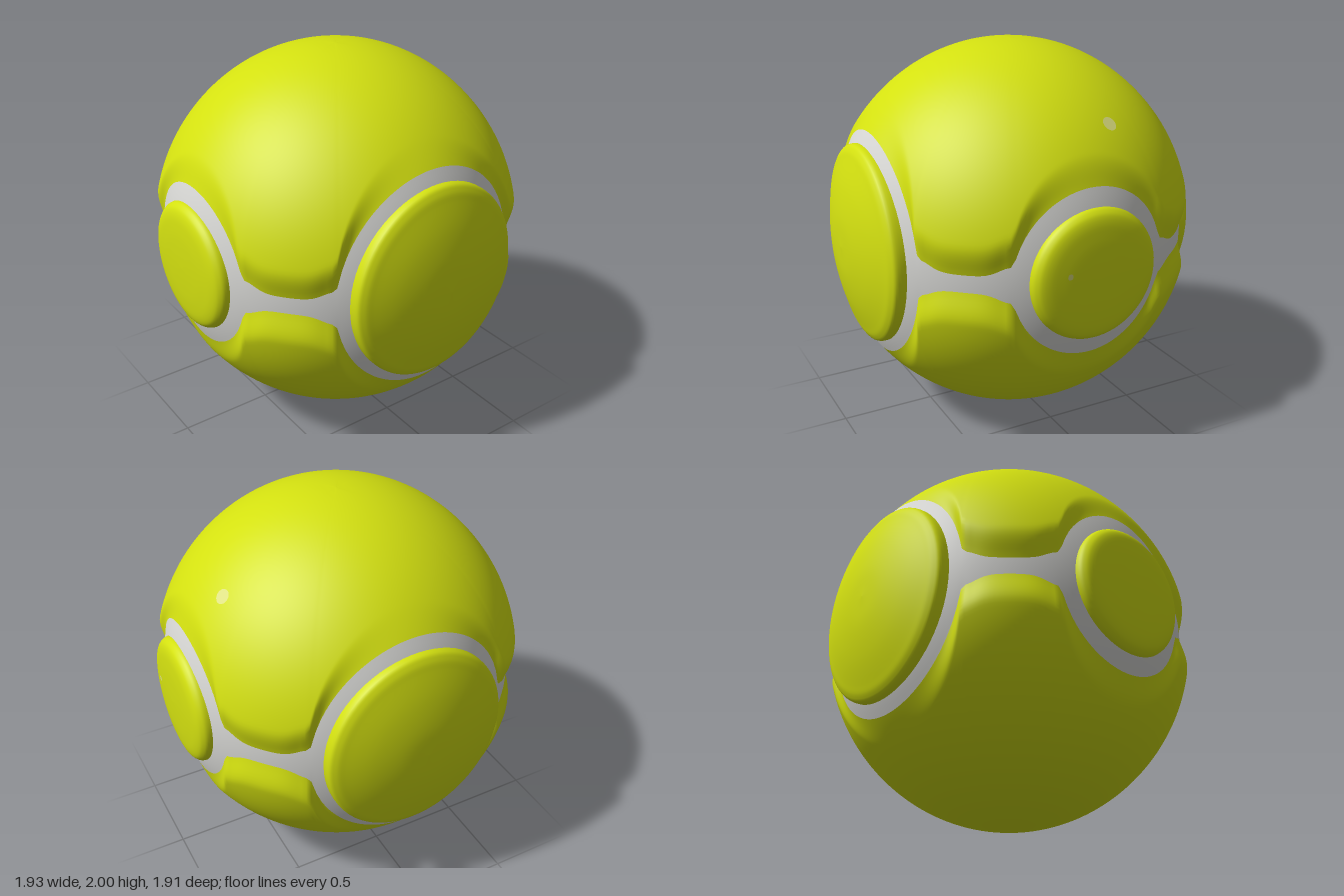
import * as THREE from 'three';

const FRONT_RING = 0.46; // angular size of the seam loops around the front/back and side pads
const SIDE_RING = 0.62;

// Smooth surface from p(u, v): u runs round a closed loop, v from centre or top outwards
function loopSurface(nu, nv, p, flip = false) {
  const pos = [], index = [];
  for (let j = 0; j <= nv; j++)
    for (let i = 0; i < nu; i++) pos.push(...p((i / nu) * Math.PI * 2, j / nv));
  for (let j = 0; j < nv; j++)
    for (let i = 0; i < nu; i++) {
      const k = (i + 1) % nu;
      const a = j * nu + i, b = a + nu, c = j * nu + k, d = c + nu;
      if (flip) index.push(a, c, b, b, c, d);
      else index.push(a, b, c, c, b, d);
    }
  const g = new THREE.BufferGeometry();
  g.setAttribute('position', new THREE.Float32BufferAttribute(pos, 3));
  g.setIndex(index);
  g.computeVertexNormals();
  return g;
}

const polar = (r, el, phi) => [
  r * Math.cos(el) * Math.sin(phi), r * Math.sin(el), r * Math.cos(el) * Math.cos(phi)];

function smoothMax(a, b, k) {
  const h = Math.max(k - Math.abs(a - b), 0) / k;
  return Math.max(a, b) + (h * h * k) / 4;
}

// Elevation of a round loop of angular radius a, at azimuth f from its centre
function ringElevation(a, f) {
  const q = Math.cos(a) / Math.max(Math.cos(f), 0.01);
  return q <= 1 ? Math.acos(q) : -Math.sqrt(2 * (q - 1));
}

// Upper edge of the seam at each azimuth: two loops joined by a narrow flared bridge
function seamEdge(phi) {
  const f = Math.acos(Math.min(1, Math.abs(Math.cos(phi))));
  const s = Math.PI / 2 - f;
  const flare = (d) => 0.05 * Math.exp(-((d / 0.09) ** 2));
  const bridge = 0.047 + flare(f - FRONT_RING) + flare(s - SIDE_RING);
  const rings = Math.max(ringElevation(FRONT_RING, f), ringElevation(SIDE_RING, s) * 1.03);
  return smoothMax(rings, bridge, 0.08);
}

const seamRadius = (el) => 0.935 + 0.12 * el * el;

// Shell swells from the seam up to the full ball radius
function shellRadius(el, edge) {
  const t = THREE.MathUtils.smoothstep(el - edge, -0.04, 0.16);
  const t0 = THREE.MathUtils.smoothstep(0, -0.04, 0.16);
  const full = 0.982 + 0.018 * Math.sin(el) ** 4;
  return THREE.MathUtils.lerp(seamRadius(edge), full, (t - t0) / (1 - t0));
}

function shellGeometry(sign) {
  return loopSurface(256, 56, (phi, v) => {
    const edge = seamEdge(phi);
    const el = Math.PI / 2 + (edge - Math.PI / 2) * v ** 0.75;
    const [x, y, z] = polar(shellRadius(el, edge), el, phi);
    return [x, y * sign, z];
  }, sign < 0);
}

// Raised oval pad facing +z; profile holds [share of radius, height]
function padGeometry(rx, ry, profile) {
  const curve = new THREE.CatmullRomCurve3(profile.map(([s, h]) => new THREE.Vector3(s, h, 0)));
  return loopSurface(72, 28, (u, v) => {
    const p = curve.getPoint(v);
    return [rx * p.x * Math.cos(u), ry * p.x * Math.sin(u), p.y];
  });
}

export function createModel() {
  const yellow = new THREE.MeshStandardMaterial({ color: 0xd3e010 });
  yellow.name = 'tennis yellow';
  const grey = new THREE.MeshStandardMaterial({ color: 0xd8d8d5 });
  grey.name = 'seam grey';
  const pale = new THREE.MeshStandardMaterial({ color: 0xdde080 });
  pale.name = 'pale spot';

  const model = new THREE.Group();
  model.name = 'ball';
  const ball = new THREE.Group();
  ball.name = 'ballBody';
  ball.position.y = 1;
  model.add(ball);
  const add = (name, geometry, material) => {
    const mesh = new THREE.Mesh(geometry, material);
    mesh.name = name;
    ball.add(mesh);
    return mesh;
  };

  // Upper and lower felt shells
  add('topShell', shellGeometry(1), yellow);
  add('bottomShell', shellGeometry(-1), yellow);

  // Seam band around the middle
  add('seam', loopSurface(256, 32, (phi, v) => {
    const el = seamEdge(phi) * (1 - 2 * v);
    return polar(seamRadius(el), el, phi);
  }), grey);

  // Small pads front and back, large pads on the sides
  const small = padGeometry(0.34, 0.335,
    [[0, 0.955], [0.3, 0.953], [0.6, 0.948], [0.85, 0.936], [0.95, 0.918], [1, 0.89], [1, 0.83]]);
  const large = padGeometry(0.487, 0.518,
    [[0, 0.965], [0.3, 0.957], [0.6, 0.929], [0.85, 0.89], [0.95, 0.87], [1, 0.845], [1, 0.77]]);
  ['frontPad', 'leftPad', 'backPad', 'rightPad'].forEach((name, i) => {
    add(name, i % 2 ? large : small, yellow).rotation.y = (i * Math.PI) / 2;
  });

  // Small pale spots on the felt
  const spot = (name, radius, x, y, z, lift) => {
    const dir = new THREE.Vector3(x, y, z).normalize();
    const mesh = add(name, new THREE.CircleGeometry(radius, 20), pale);
    mesh.position.copy(dir).multiplyScalar(lift);
    mesh.quaternion.setFromUnitVectors(new THREE.Vector3(0, 0, 1), dir);
  };
  spot('topSpot', 0.038, -0.18, 0.67, -0.7, 0.988);
  const backSpot = add('backSpot', new THREE.CircleGeometry(0.015, 16), pale);
  backSpot.position.set(0.17, 0.04, -0.955);
  backSpot.rotation.y = Math.PI;

  return model;
}
